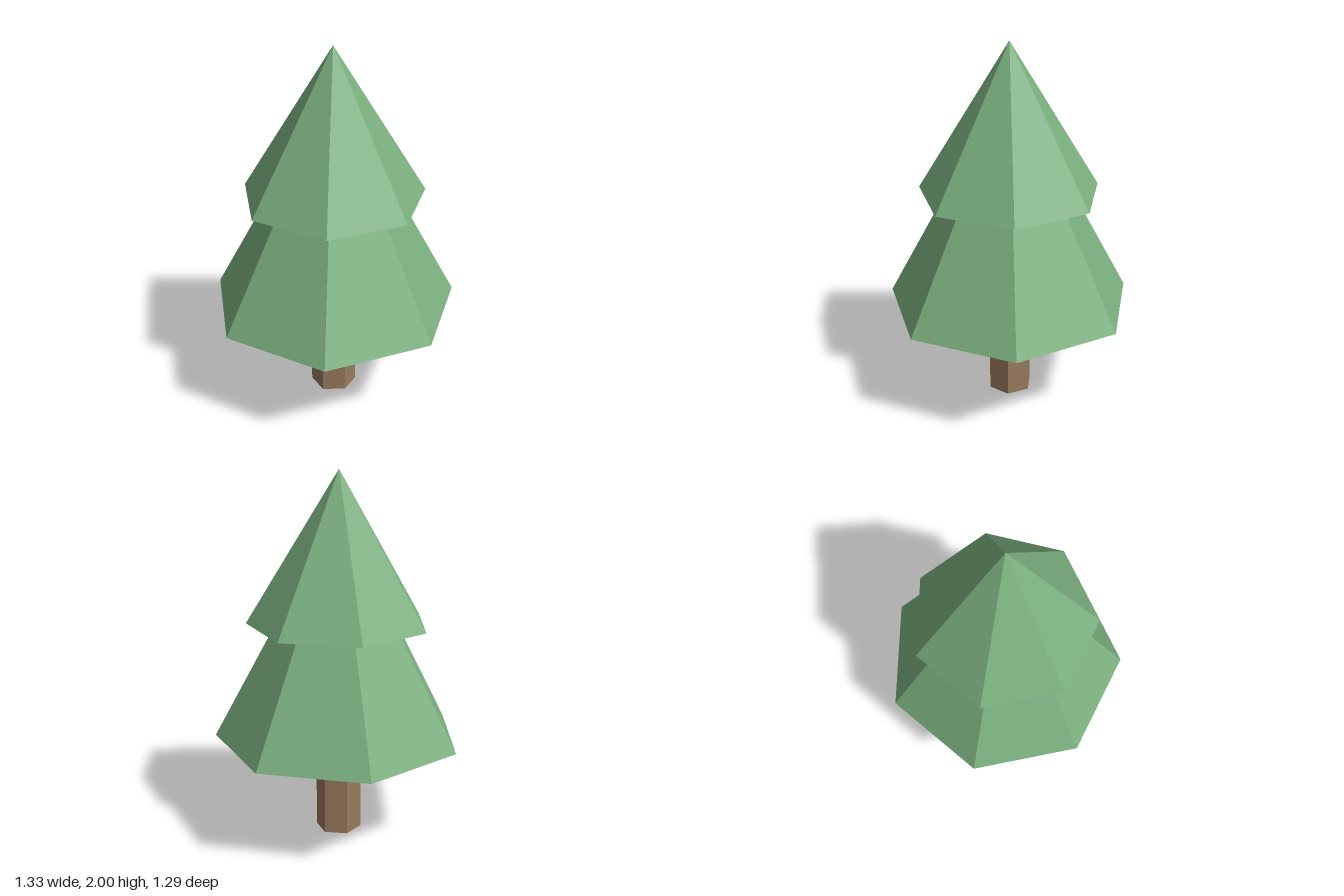
import * as THREE from 'three';

export function createModel() {
  const tree = new THREE.Group();
  tree.name = 'pineTree';

  const foliage = new THREE.MeshStandardMaterial({ color: 0x7bb07f, flatShading: true });
  foliage.name = 'foliageGreen';
  const bark = new THREE.MeshStandardMaterial({ color: 0x987b5e, flatShading: true });
  bark.name = 'barkBrown';

  // The seven-sided crown has a corner at the back, so its axis sits slightly forward
  const axisZ = 0.034;

  function addPart(name, geometry, bottom, height, material) {
    geometry.translate(0, bottom + height / 2, axisZ);
    const mesh = new THREE.Mesh(geometry, material);
    mesh.name = name;
    tree.add(mesh);
  }

  // Hexagonal trunk with a corner facing the front
  addPart('trunk', new THREE.CylinderGeometry(0.125, 0.125, 0.56, 6), 0, 0.56, bark);

  // Two overlapping seven-sided cones, flat side to the front
  const tiers = [
    { name: 'lowerFoliage', radius: 0.68, bottom: 0.55, height: 1.26 },
    { name: 'upperFoliage', radius: 0.497, bottom: 1.187, height: 0.813 },
  ];
  for (const { name, radius, bottom, height } of tiers) {
    const cone = new THREE.ConeGeometry(radius, height, 7, 1, false, Math.PI);
    addPart(name, cone, bottom, height, foliage);
  }

  return tree;
}
